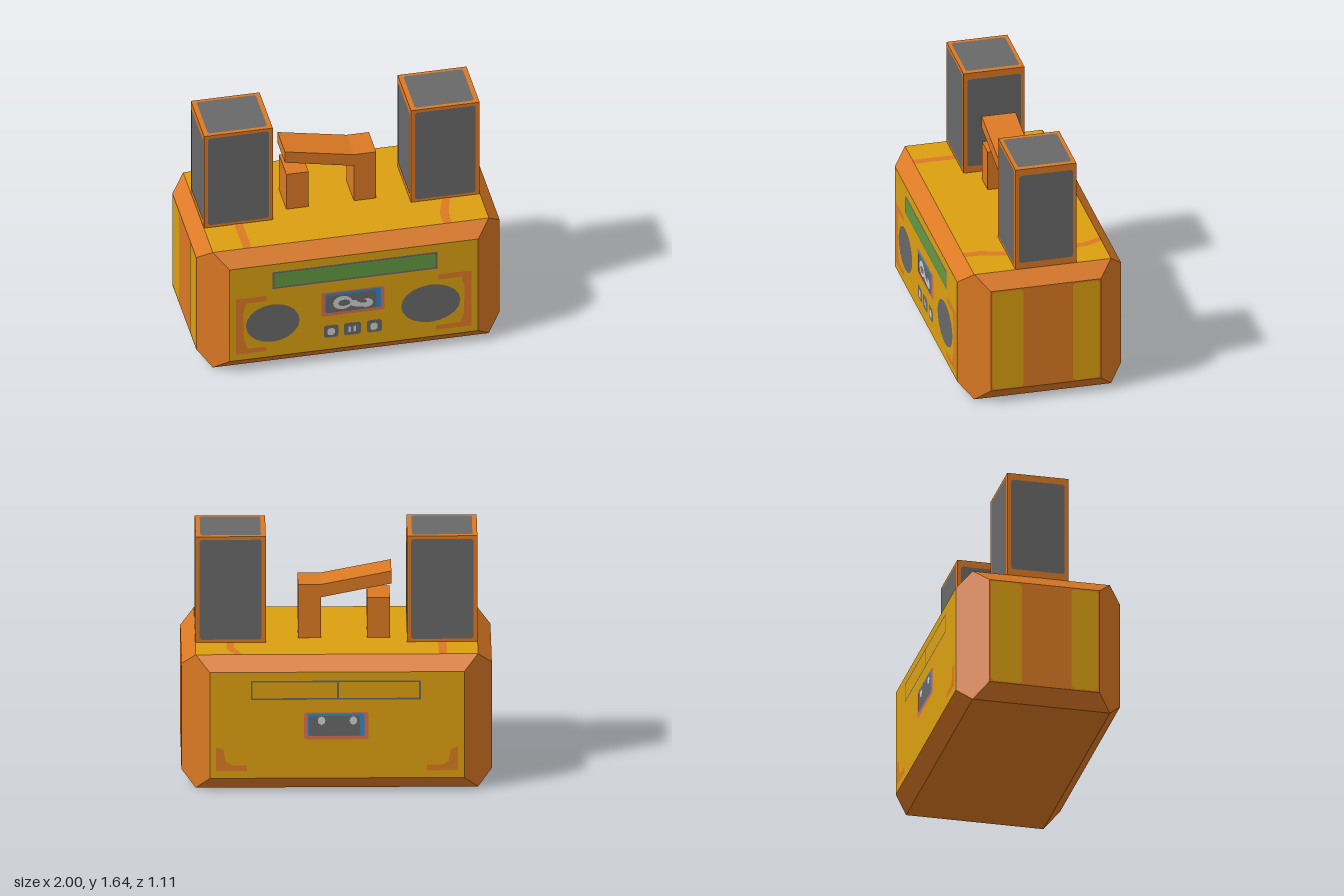
import * as THREE from 'three';

const mat = (name, color) => {
  const m = new THREE.MeshStandardMaterial({ color });
  m.name = name;
  return m;
};

export function createModel() {
  const orange = mat('orange', 0xdc7923);
  const yellow = mat('yellow', 0xdca010);
  const grey = mat('dark grey', 0x686868);
  const green = mat('green', 0x629a40);
  const blue = mat('blue', 0x3088cc);
  const pink = mat('dusty pink', 0xd8704a);
  const light = mat('light grey', 0xd0d0d0);

  const root = new THREE.Group();
  root.name = 'radio';

  const add = (parent, name, geo, material, x = 0, y = 0, z = 0) => {
    const m = new THREE.Mesh(geo, material);
    m.name = name;
    m.position.set(x, y, z);
    parent.add(m);
    return m;
  };
  // A flat face frame: local z points out of the face
  const frame = (parent, name, x, y, z, ry = 0, rx = 0) => {
    const g = new THREE.Group();
    g.name = name;
    g.position.set(x, y, z);
    g.rotation.set(rx, ry, 0);
    parent.add(g);
    return g;
  };
  // Shapes for painted details
  const poly = pts => new THREE.Shape(pts.map(p => new THREE.Vector2(p[0], p[1])));
  const rect = (x0, x1, y0, y1, c = 0) => poly(c
    ? [[x0 + c, y0], [x1 - c, y0], [x1, y0 + c], [x1, y1 - c], [x1 - c, y1], [x0 + c, y1], [x0, y1 - c], [x0, y0 + c]]
    : [[x0, y0], [x1, y0], [x1, y1], [x0, y1]]);
  const oval = (x, y, rx, ry, rot = 0) => new THREE.Shape().absellipse(x, y, rx, ry, 0, Math.PI * 2, false, rot);
  const paint = (face, name, shape, material, layer = 1) =>
    add(face, name, new THREE.ShapeGeometry(shape, 10), material, 0, 0, layer * 0.002);

  // Chamfered body: an eight-sided middle closing to rectangles above and below
  const mid = [[0.82, 0.545], [1, 0.365], [1, -0.365], [0.82, -0.545],
    [-0.82, -0.545], [-1, -0.365], [-1, 0.365], [-0.82, 0.545]];
  const corner = [[0.91, 0.455], [0.91, -0.455], [-0.91, -0.455], [-0.91, 0.455]];
  const at = ([x, z], y) => [x, y, z];
  const ends = mid.map((_, i) => corner[i >> 1]);
  const rings = [ends.map(p => at(p, 0)), mid.map(p => at(p, 0.095)),
    mid.map(p => at(p, 0.82)), ends.map(p => at(p, 0.91))];
  const shell = [], panels = [];
  const quad = (out, a, b, c, d) => {
    const same = (p, q) => p.every((v, k) => v === q[k]);
    if (!same(a, b)) out.push(...a, ...b, ...c);
    if (!same(c, d)) out.push(...a, ...c, ...d);
  };
  for (let r = 0; r < 3; r++) {
    for (let i = 0; i < 8; i++) {
      const j = (i + 1) % 8;
      const out = r === 1 && (i === 3 || i === 7) ? panels : shell;
      quad(out, rings[r][i], rings[r][j], rings[r + 1][j], rings[r + 1][i]);
    }
  }
  quad(panels, ...corner.map(p => at(p, 0.91)));
  quad(shell, ...corner.map(p => at(p, 0)).reverse());
  const soup = list => {
    const g = new THREE.BufferGeometry();
    g.setAttribute('position', new THREE.Float32BufferAttribute(list, 3));
    g.computeVertexNormals();
    return g;
  };
  add(root, 'bodyShell', soup(shell), orange);
  add(root, 'bodyPanels', soup(panels), yellow);

  const front = frame(root, 'frontDetails', 0, 0, 0.545);
  const back = frame(root, 'backDetails', 0, 0, -0.545, Math.PI);
  const top = frame(root, 'topDetails', 0, 0.91, 0, 0, -Math.PI / 2);

  // Side stripes
  for (const s of [-1, 1]) {
    const side = frame(root, s > 0 ? 'leftStripes' : 'rightStripes', s, 0, 0, s * Math.PI / 2);
    paint(side, 'sideStripe', rect(-0.355, -0.15, 0.105, 0.81, 0.015), yellow);
    paint(side, 'sideStripe', rect(0.18, 0.355, 0.105, 0.81, 0.015), yellow);
  }

  // Top stripes, running under the speakers
  paint(top, 'topStripe', rect(-0.71, -0.655, -0.455, 0.455), orange);
  paint(top, 'topStripe', poly([[0.61, -0.455], [0.665, -0.455], [0.67, -0.34], [0.71, -0.18],
    [0.71, 0.35], [0.66, 0.455], [0.61, 0.455], [0.66, 0.33], [0.66, -0.18], [0.61, -0.34]]), orange);

  // Tuning display
  paint(front, 'displayFrame', rect(-0.537, 0.55, 0.628, 0.76), grey);
  paint(front, 'display', rect(-0.524, 0.538, 0.641, 0.748), green, 2);

  // Front speaker cones and their brackets
  paint(front, 'rightCone', oval(-0.535, 0.36, 0.177, 0.147), grey);
  paint(front, 'leftCone', oval(0.507, 0.36, 0.195, 0.147), grey);
  for (const [s, t, b] of [[-1, 0.575, 0.575], [1, 0.555, 0.54]]) {
    const pts = [[t, 0.58], [0.777, 0.58], [0.777, 0.145], [b, 0.145], [b, 0.18], [0.7, 0.18],
      [0.725, 0.25], [0.73, 0.46], [0.71, 0.54], [t, 0.54]];
    paint(front, 'coneBracket', poly(pts.map(([x, y]) => [s * x, y])), orange);
    // Lower corner brackets on the back
    paint(back, 'cornerBracket', poly([[0.78, 0.145], [0.78, 0.31], [0.73, 0.29], [0.72, 0.21],
      [0.68, 0.185], [0.58, 0.185], [0.58, 0.145]].map(([x, y]) => [s * x, y])), orange);
  }

  // Cassette window on both faces
  for (const face of [front, back]) {
    paint(face, 'cassetteFrame', rect(-0.213, 0.203, 0.36, 0.545, 0.01), pink);
    paint(face, 'cassetteWindow', rect(-0.19, 0.178, 0.383, 0.537, 0.01), blue, 2);
    paint(face, 'cassette', rect(-0.182, 0.147, 0.386, 0.52, 0.01), grey, 3);
  }
  paint(front, 'reel', oval(-0.075, 0.457, 0.063, 0.052), light, 4);
  paint(front, 'reelHub', oval(-0.065, 0.455, 0.04, 0.024), grey, 5);
  paint(front, 'tape', oval(0.015, 0.437, 0.065, 0.024, -0.3), light, 4);
  paint(front, 'reel', oval(0.083, 0.433, 0.042, 0.034), light, 4);
  paint(front, 'reelHub', oval(0.05, 0.455, 0.035, 0.015, -0.3), grey, 5);
  for (const x of [-0.1, 0.105]) paint(back, 'reel', oval(x, 0.49, 0.024, 0.028), light, 4);

  // Push buttons
  for (const [x, w] of [[-0.15, 0.048], [-0.01, 0.056], [0.135, 0.05]]) {
    paint(front, 'button', rect(x - w, x + w, 0.19, 0.285, 0.012), grey);
  }
  for (const x of [-0.15, 0.132]) paint(front, 'buttonMark', rect(x - 0.024, x + 0.024, 0.208, 0.262, 0.012), light, 2);
  for (const x of [-0.028, 0.006]) paint(front, 'buttonMark', rect(x - 0.008, x + 0.008, 0.215, 0.258), light, 2);

  // Battery cover outline on the back
  for (const [x0, x1] of [[-0.55, 0.005], [0.005, 0.535]]) {
    const outline = rect(x0 - 0.006, x1 + 0.006, 0.632, 0.762);
    outline.holes.push(rect(x0 + 0.006, x1 - 0.006, 0.643, 0.751));
    paint(back, 'batteryCover', outline, grey);
  }

  // Speaker towers with a grille on every exposed face
  const w = 0.453, h = 0.725, d = 0.405;
  for (const s of [-1, 1]) {
    const tower = frame(root, s > 0 ? 'leftSpeaker' : 'rightSpeaker', s * 0.682, 0.91 + h / 2, -0.0225);
    add(tower, 'speakerBox', new THREE.BoxGeometry(w, h, d), orange);
    for (let k = 0; k < 4; k++) {
      const wide = k % 2 === 0;
      const a = k * Math.PI / 2, r = (wide ? d : w) / 2;
      const f = frame(tower, 'grilleSide', Math.sin(a) * r, 0, Math.cos(a) * r, a);
      const gx = wide ? 0.2 : 0.178, gy = wide ? 0.342 : 0.317;
      paint(f, 'grille', rect(-gx, gx, -gy, gy, 0.012), grey);
    }
    const lid = frame(tower, 'grilleTop', 0, h / 2, 0, 0, -Math.PI / 2);
    paint(lid, 'grille', rect(-0.195, 0.195, -0.178, 0.178, 0.012), grey);
  }

  // Handle: a short post and a bent arm standing free of it
  const arm = poly([[-0.355, 1.365], [-0.355, 1.28], [0.1, 1.187], [0.1, 0.91],
    [0.247, 0.91], [0.247, 1.275], [0.1, 1.275]]);
  add(root, 'handleArm', new THREE.ExtrudeGeometry(arm, { depth: 0.225, bevelEnabled: false }), orange, 0, 0, -0.14);
  add(root, 'handlePost', new THREE.BoxGeometry(0.147, 0.275, 0.225), orange, -0.272, 1.0475, -0.0275);

  return root;
}
